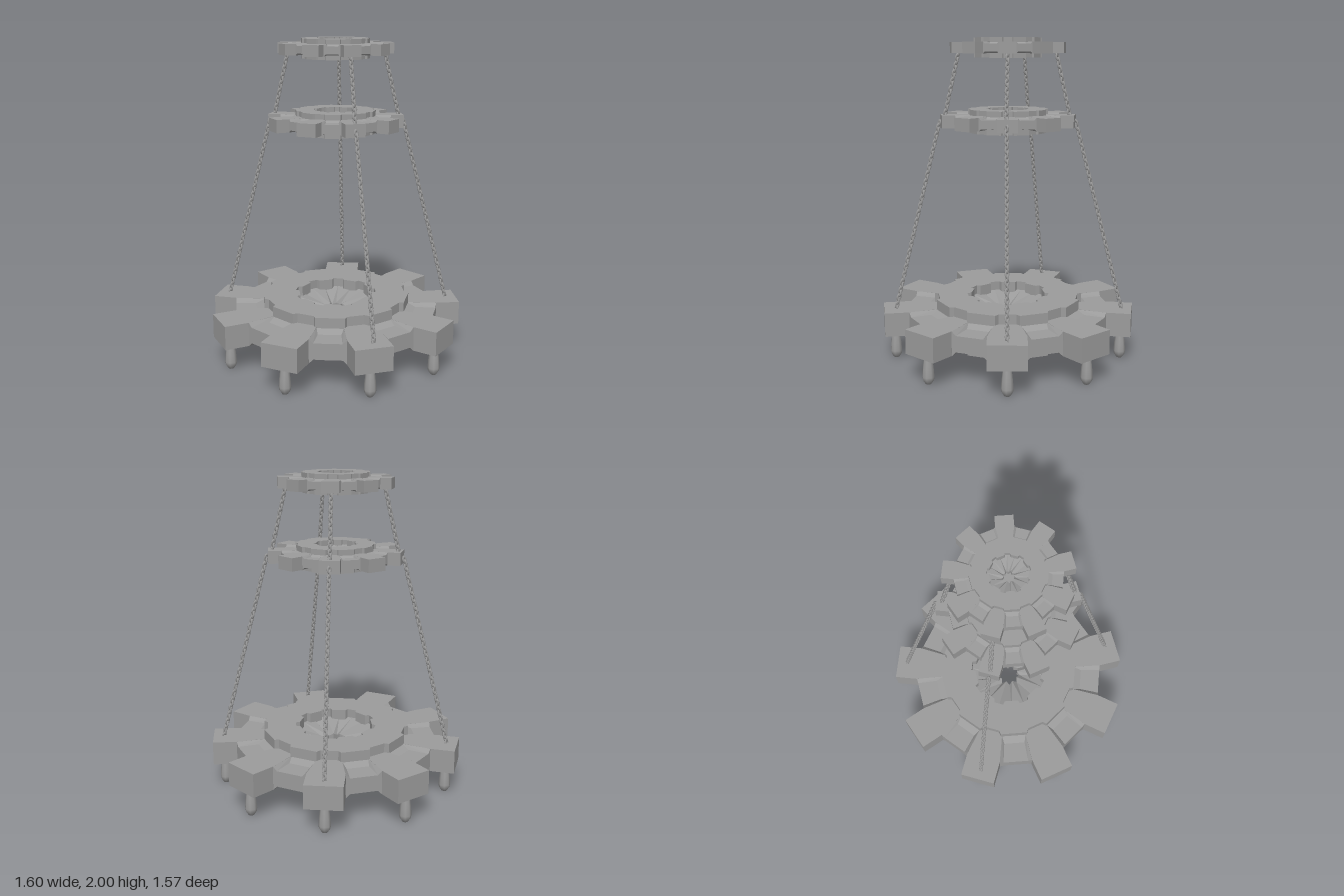
import * as THREE from 'three';
import { mergeGeometries } from 'three/addons/utils/BufferGeometryUtils.js';
import { ConvexGeometry } from 'three/addons/geometries/ConvexGeometry.js';

const TEETH = 9;
const STEP = (Math.PI * 2) / TEETH;
const DEG = Math.PI / 180;
const COLOR = 0x9b9b9b;
const flat = new THREE.MeshStandardMaterial({ color: COLOR, flatShading: true, side: THREE.DoubleSide });
const smooth = new THREE.MeshStandardMaterial({ color: COLOR });

// point at radius r and angle a, measured from the back (-z) towards +x
const polar = (r, a) => new THREE.Vector2(r * Math.sin(a), r * Math.cos(a));

// horizontal plate centred on y = 0
function plate(outer, hole, height) {
  const shape = new THREE.Shape(outer);
  shape.holes.push(new THREE.Path(hole));
  const g = new THREE.ExtrudeGeometry(shape, { depth: height, bevelEnabled: false });
  return g.translate(0, 0, -height / 2).rotateX(-Math.PI / 2);
}

// outline with a shallow jog between tooth and gap directions
function jogged(rGap, rTooth) {
  const pts = [];
  for (let k = 0; k < TEETH; k++) {
    const c = (k + 0.5) * STEP;
    pts.push(polar(rTooth, c - 13 * DEG), polar(rGap, c - 11 * DEG),
      polar(rGap, c + 11 * DEG), polar(rTooth, c + 13 * DEG));
  }
  return pts;
}

// convex block from [x, z, halfHeight] corners, mirrored in y
function block(corners) {
  return new ConvexGeometry(corners.flatMap(([x, z, h]) =>
    [new THREE.Vector3(x, h, z), new THREE.Vector3(x, -h, z)]));
}

// pleated funnel sinking to a small central hole, from above and below
function funnel() {
  const n = TEETH * 2, pos = [], idx = [];
  for (let i = 0; i < n; i++) {
    const ridge = i % 2 === 0;
    const a = (i * STEP) / 2;
    const outer = polar(0.265, a), inner = polar(ridge ? 0.06 : 0.08, a);
    const yo = ridge ? 0.08 : 0.075, yi = ridge ? 0.035 : 0.018;
    for (const [p, y] of [[outer, yo], [inner, yi], [inner, -yi], [outer, -yo]]) pos.push(p.x, y, -p.y);
    const b = i * 4, d = ((i + 1) % n) * 4;
    for (let j = 0; j < 3; j++) {
      idx.push(b + j, b + j + 1, d + j, d + j, b + j + 1, d + j + 1);
    }
  }
  const g = new THREE.BufferGeometry();
  g.setAttribute('position', new THREE.Float32BufferAttribute(pos, 3));
  g.setIndex(idx);
  const out = g.toNonIndexed();
  out.computeVertexNormals();
  return out;
}

function gearGeometry() {
  const ring = (r) => Array.from({ length: TEETH }, (_, k) => polar(r, k * STEP));
  const parts = [
    plate(jogged(0.47, 0.445), jogged(0.235, 0.26), 0.27), // raised hub
    plate(ring(0.64 / Math.cos(STEP / 2)), ring(0.3), 0.1), // floor between the teeth
    funnel(),
  ];
  // bevels framing the floor of the gap that faces +z
  const A = [0.11, 0.64, 0.075], B = [0.083, 0.45, 0.075];
  const a = [0.085, 0.64, 0.05], b = [0.07, 0.51, 0.05];
  const flip = ([x, z, h]) => [-x, z, h];
  const pieces = [
    block([A, B, a, b]),
    block([A, B, a, b].map(flip)),
    block([B, b, flip(B), flip(b)]),
    // tooth pointing to -z
    block([[0.115, -0.79, 0.075], [-0.115, -0.79, 0.075], [0.115, -0.64, 0.075],
      [-0.115, -0.64, 0.075], [0.072, -0.42, 0.075], [-0.072, -0.42, 0.075]]),
  ];
  for (let k = 0; k < TEETH; k++) {
    for (const p of pieces) parts.push(p.clone().rotateY(k * STEP));
  }
  return mergeGeometries(parts.map((p) => {
    p.deleteAttribute('uv');
    return p;
  }));
}

// dense chain of alternating oval links between two points
function chainGeometry(from, to) {
  const dir = to.clone().sub(from);
  const count = Math.round(dir.length() / 0.025);
  const q = new THREE.Quaternion().setFromUnitVectors(new THREE.Vector3(0, 1, 0), dir.clone().normalize());
  const links = [];
  for (let i = 0; i <= count; i++) {
    const link = new THREE.TorusGeometry(0.0105, 0.006, 6, 10).scale(1, 1.5, 1);
    link.rotateY((i % 2) * Math.PI / 2 + Math.PI / 4).applyQuaternion(q);
    const p = from.clone().addScaledVector(dir, i / count);
    links.push(link.translate(p.x, p.y, p.z));
  }
  return mergeGeometries(links);
}

export function createModel() {
  const group = new THREE.Group();
  const add = (name, geometry, material) => {
    const mesh = new THREE.Mesh(geometry, material);
    mesh.name = name;
    group.add(mesh);
    return mesh;
  };

  // three stacked toothed rings
  const gear = gearGeometry();
  for (const [name, y, s] of [['lowerRing', 0.255, 1], ['middleRing', 1.5, 0.525], ['upperRing', 1.943, 0.443]]) {
    const ring = add(name, gear, flat);
    ring.position.y = y;
    ring.scale.setScalar(s);
  }

  // hanging lamp drop under every lower tooth
  const profile = [[0, 0.005], [0.019, 0.006], [0.034, 0.03], [0.037, 0.05], [0.033, 0.1], [0.026, 0.16], [0.021, 0.182], [0, 0.185]];
  const drop = new THREE.LatheGeometry(profile.map(([r, y]) => new THREE.Vector2(r, y)), 8);
  for (let k = 0; k < TEETH; k++) {
    const p = polar(0.72, k * STEP);
    add('lampDrop', drop, smooth).position.set(p.x, 0, -p.y);
  }

  // four chains, each a long lower and a short upper run: [x, z] at both ends
  const runs = [
    [[0, -0.725], [0, -0.425], [0, -0.385], [0, -0.3]],
    [[-0.713, -0.12], [-0.42, -0.072], [-0.387, -0.066], [-0.3, -0.053]],
    [[0.713, -0.125], [0.42, -0.07], [0.387, -0.062], [0.3, -0.053]],
    [[0.265, 0.665], [0.145, 0.4], [0.138, 0.367], [0.107, 0.285]],
  ];
  const heights = [0.33, 1.49, 1.53, 1.91];
  for (const run of runs) {
    const [a, b, c, d] = run.map(([x, z], i) => new THREE.Vector3(x, heights[i], z));
    add('lowerChain', chainGeometry(a, b), smooth);
    add('upperChain', chainGeometry(c, d), smooth);
  }
  return group;
}
